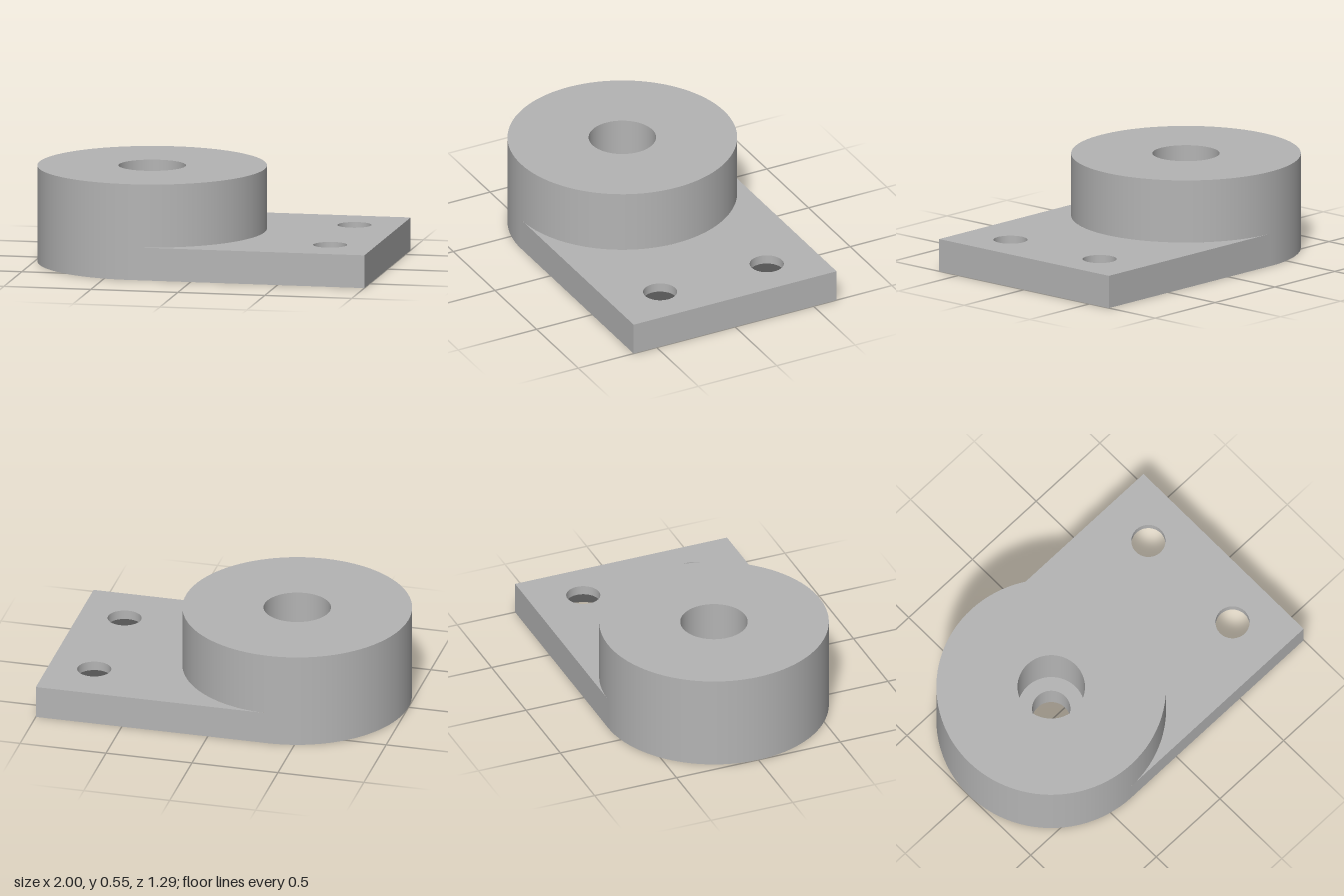
import * as THREE from 'three';

const R = 0.647, CX = -0.353;          // boss radius and centre
const PLATE = 0.187, TOP = 0.547;      // plate and boss heights
const BORE = 0.108, POCKET = 0.19;     // through bore and wider upper bore
const HOLE = 0.096, SINK = 0.23, SINK_H = 0.134; // countersunk screw holes
const HOLE_X = 0.74, HOLE_Z = 0.34;
const SEG = 96;

export function createModel() {
  const model = new THREE.Group();
  const grey = new THREE.MeshStandardMaterial({ color: 0xb4b4b4 });
  grey.name = 'plain grey';

  const add = (name, geometry, x = 0, y = 0, z = 0) => {
    const mesh = new THREE.Mesh(geometry, grey);
    mesh.name = name;
    mesh.position.set(x, y, z);
    model.add(mesh);
    return mesh;
  };

  // Flat face lying at height y, looking up (1) or down (-1)
  const flat = (name, shape, y, dir) =>
    add(name, new THREE.ShapeGeometry(shape, SEG / 2).rotateX(-dir * Math.PI / 2), 0, y, 0);

  const cut = (shape, x, z, r) =>
    shape.holes.push(new THREE.Path().absarc(x, z, r, 0, Math.PI * 2, true));

  // Inward-facing wall of a hole, from the top radius down to the bottom radius
  const holeWall = (name, x, z, rTop, yTop, rBottom, yBottom) =>
    add(name, new THREE.LatheGeometry(
      [new THREE.Vector2(rTop, yTop), new THREE.Vector2(rBottom, yBottom)], SEG), x, 0, z);

  const disc = (r) => new THREE.Shape().absarc(CX, 0, r, 0, Math.PI * 2, false);
  const screwHoles = [-HOLE_Z, HOLE_Z];

  // Underside: rounded at one end, square at the other
  const base = new THREE.Shape();
  base.moveTo(CX, -R);
  base.lineTo(1, -R);
  base.lineTo(1, R);
  base.lineTo(CX, R);
  base.absarc(CX, 0, R, Math.PI / 2, Math.PI * 1.5, false);
  cut(base, CX, 0, BORE);
  screwHoles.forEach((z) => cut(base, HOLE_X, z, SINK));
  flat('plateUnderside', base, 0, -1);

  // Plate top, wrapped around the boss
  const deck = new THREE.Shape();
  deck.moveTo(CX, -R);
  deck.lineTo(1, -R);
  deck.lineTo(1, R);
  deck.lineTo(CX, R);
  deck.absarc(CX, 0, R, Math.PI / 2, -Math.PI / 2, true);
  screwHoles.forEach((z) => cut(deck, HOLE_X, z, HOLE));
  flat('plateTop', deck, PLATE, 1);

  // Straight plate sides and square end
  const sideLength = 1 - CX;
  const side = () => new THREE.PlaneGeometry(sideLength, PLATE);
  add('plateFrontSide', side(), (1 + CX) / 2, PLATE / 2, R);
  add('plateBackSide', side().rotateY(Math.PI), (1 + CX) / 2, PLATE / 2, -R);
  add('plateEnd', new THREE.PlaneGeometry(2 * R, PLATE).rotateY(Math.PI / 2), 1, PLATE / 2, 0);

  // Boss wall: full height on the outer half, above the plate on the inner half
  const halfWall = (name, y0, start) => add(name,
    new THREE.CylinderGeometry(R, R, TOP - y0, SEG / 2, 1, true, start, Math.PI),
    CX, (TOP + y0) / 2, 0);
  halfWall('bossOuterWall', 0, Math.PI);
  halfWall('bossInnerWall', PLATE, 0);

  // Boss top, counterbore and through bore
  const bossTop = disc(R);
  cut(bossTop, CX, 0, POCKET);
  flat('bossTop', bossTop, TOP, 1);
  holeWall('counterboreWall', CX, 0, POCKET, TOP, POCKET, PLATE);
  const ledge = disc(POCKET);
  cut(ledge, CX, 0, BORE);
  flat('counterboreLedge', ledge, PLATE, 1);
  holeWall('boreWall', CX, 0, BORE, PLATE, BORE, 0);

  // Screw holes, countersunk from below
  for (const z of screwHoles) {
    holeWall('screwHoleWall', HOLE_X, z, HOLE, PLATE, HOLE, SINK_H);
    holeWall('countersink', HOLE_X, z, HOLE, SINK_H, SINK, 0);
  }
  return model;
}
